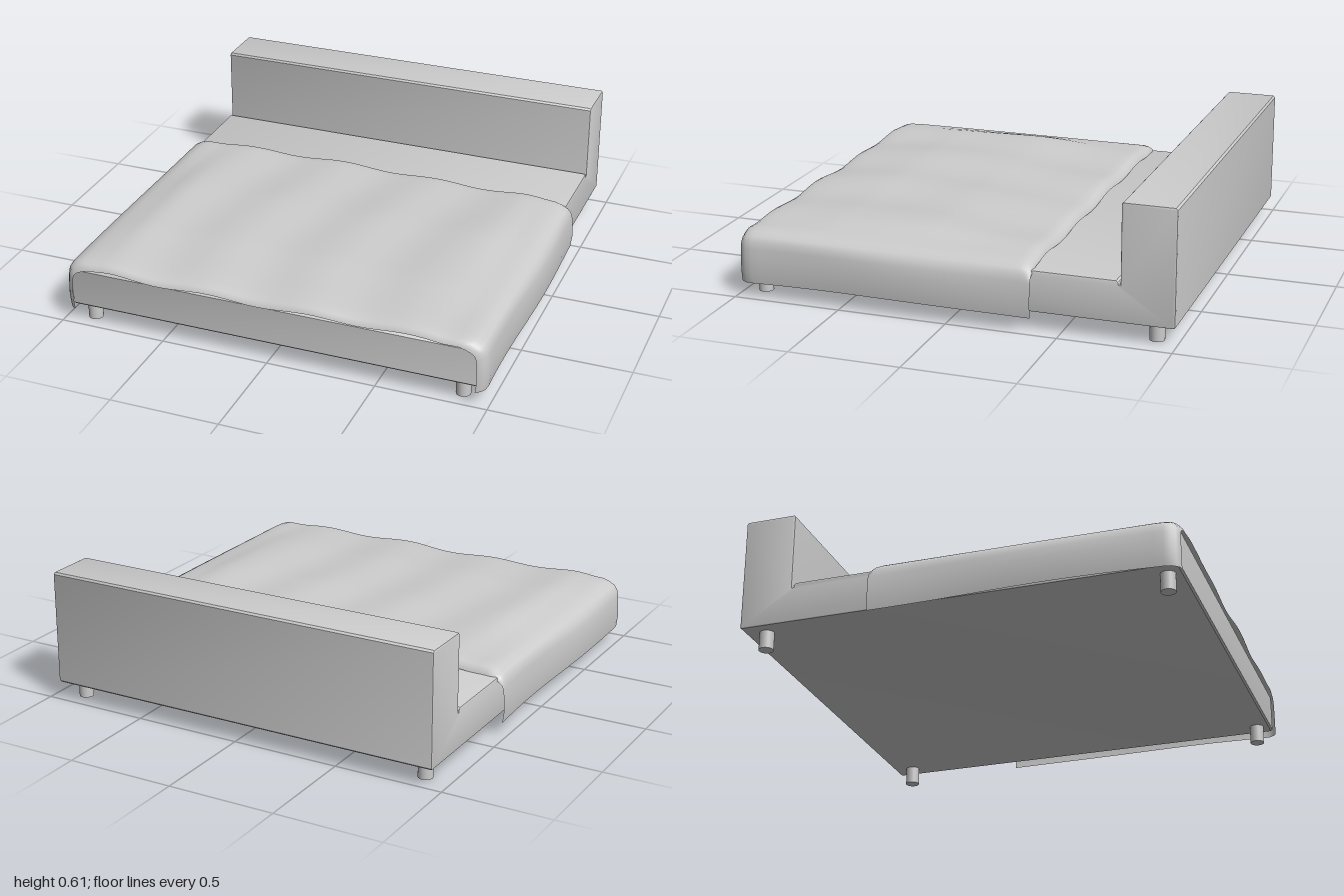
import * as THREE from 'three';
import { toCreasedNormals } from 'three/addons/utils/BufferGeometryUtils.js';

const mat = new THREE.MeshStandardMaterial({ color: 0xcccccc });
const clothMat = new THREE.MeshStandardMaterial({ color: 0xcccccc, side: THREE.DoubleSide });

// L-shaped side profile (z, y): upholstered base running up into the headboard
function createFrame() {
  const bevel = 0.008, width = 1.9;
  const profile = [
    [-0.99, 0.083], [0.967, 0.083], [0.975, 0.091],
    [0.975, 0.258], [0.963, 0.27], // front edge of the mattress
    [-0.742, 0.27], [-0.75, 0.262], [-0.752, 0.25], [-0.759, 0.25], // seam groove
    [-0.759, 0.602], [-0.767, 0.611], [-0.99, 0.611], [-0.998, 0.602], [-0.998, 0.091],
  ];
  const shape = new THREE.Shape(profile.map(([z, y]) => new THREE.Vector2(z, y)));
  const geo = new THREE.ExtrudeGeometry(shape, {
    depth: width - 2 * bevel, bevelEnabled: true,
    bevelThickness: bevel, bevelSize: bevel, bevelOffset: -bevel, bevelSegments: 2,
  });
  geo.translate(0, 0, -width / 2 + bevel).rotateY(-Math.PI / 2).translate(-0.003, 0, 0);
  const mesh = new THREE.Mesh(toCreasedNormals(geo, 0.6), mat);
  mesh.name = 'bedFrame';
  return mesh;
}

// Piecewise linear curve lookup through [position, value] pairs
function sample(points, t) {
  if (t <= points[0][0]) return points[0][1];
  for (let i = 1; i < points.length; i++) {
    const [a, va] = points[i - 1], [b, vb] = points[i];
    if (t <= b) return va + (vb - va) * (t - a) / (b - a);
  }
  return points[points.length - 1][1];
}

// Blanket: cross-sections over the bed, draped at both sides and tucked at the ends
function createBlanket() {
  const side = [
    [0.985, 0.066], [0.992, 0.12], [0.99, 0.18], [0.986, 0.225],
    [0.978, 0.258], [0.962, 0.28], [0.935, 0.296], [0.9, 0.306],
  ];
  const section = side.map(([x, y]) => [-x, y]);
  for (let i = 1; i < 40; i++) section.push([-0.9 + 1.8 * i / 40, 0.306]);
  section.push(...side.slice().reverse());

  const rows = [-0.38, -0.378, -0.37, -0.355, -0.33];
  for (let i = 0; i <= 28; i++) rows.push(-0.3 + 1.18 * i / 28);
  rows.push(0.92, 0.95, 0.97, 0.982, 0.987);

  // Lowering of the top surface towards the two ends
  const drop = [[-0.38, -0.034], [-0.37, -0.014], [-0.355, -0.005], [-0.33, 0],
    [0.88, 0], [0.95, -0.004], [0.97, -0.012], [0.982, -0.022], [0.987, -0.034]];
  // Narrowing of the drape round the foot corners
  const inset = [[0.93, 0], [0.95, 0.004], [0.97, 0.016], [0.982, 0.028], [0.987, 0.042]];
  const crown = [[-0.38, 0.008], [-0.1, 0.018], [0.15, 0.03], [0.6, 0.028], [0.85, 0.01], [0.987, 0]];

  const pos = [], index = [], n = section.length;
  rows.forEach((z, r) => {
    section.forEach(([x, y], c) => {
      const top = THREE.MathUtils.smoothstep(y, 0.2, 0.306);
      const inner = THREE.MathUtils.smoothstep(0.93 - Math.abs(x), 0, 0.2);
      const waves = 0.007 * Math.cos(13.2 * x + 1.2 * Math.sin(2.5 * z) + 3.1)
        + 0.003 * Math.sin(5 * x - 7 * z);
      const hem = 0.008 * (1 - top) * Math.cos(2.4 * (z - 0.3));
      const flare = 0.007 * (1 - top) * Math.sin(5 * z + x);
      const px = Math.sign(x) * (Math.abs(x) + flare - (1 - inner) * sample(inset, z));
      const py = y + top * sample(drop, z) + inner * (sample(crown, z) + waves) + hem;
      const pz = z + (z < -0.3 ? 0.005 * x : 0) + (z > 0.93 ? 0.003 * Math.sin(9 * x) : 0);
      pos.push(px, py, pz);
      if (r && c) {
        const d = r * n + c, a = d - n - 1, b = d - n, e = d - 1;
        index.push(a, e, b, b, e, d);
      }
    });
  });
  const geo = new THREE.BufferGeometry();
  geo.setAttribute('position', new THREE.Float32BufferAttribute(pos, 3));
  geo.setIndex(index);
  geo.computeVertexNormals();
  const mesh = new THREE.Mesh(geo, clothMat);
  mesh.name = 'blanket';
  return mesh;
}

export function createModel() {
  const bed = new THREE.Group();
  bed.name = 'bed';
  bed.add(createFrame(), createBlanket());

  // Four short round legs
  const legGeo = new THREE.CylinderGeometry(0.033, 0.033, 0.09, 24);
  for (const x of [-0.877, 0.868]) {
    for (const z of [-0.902, 0.91]) {
      const leg = new THREE.Mesh(legGeo, mat);
      leg.name = 'leg';
      leg.position.set(x, 0.045, z);
      bed.add(leg);
    }
  }
  return bed;
}
